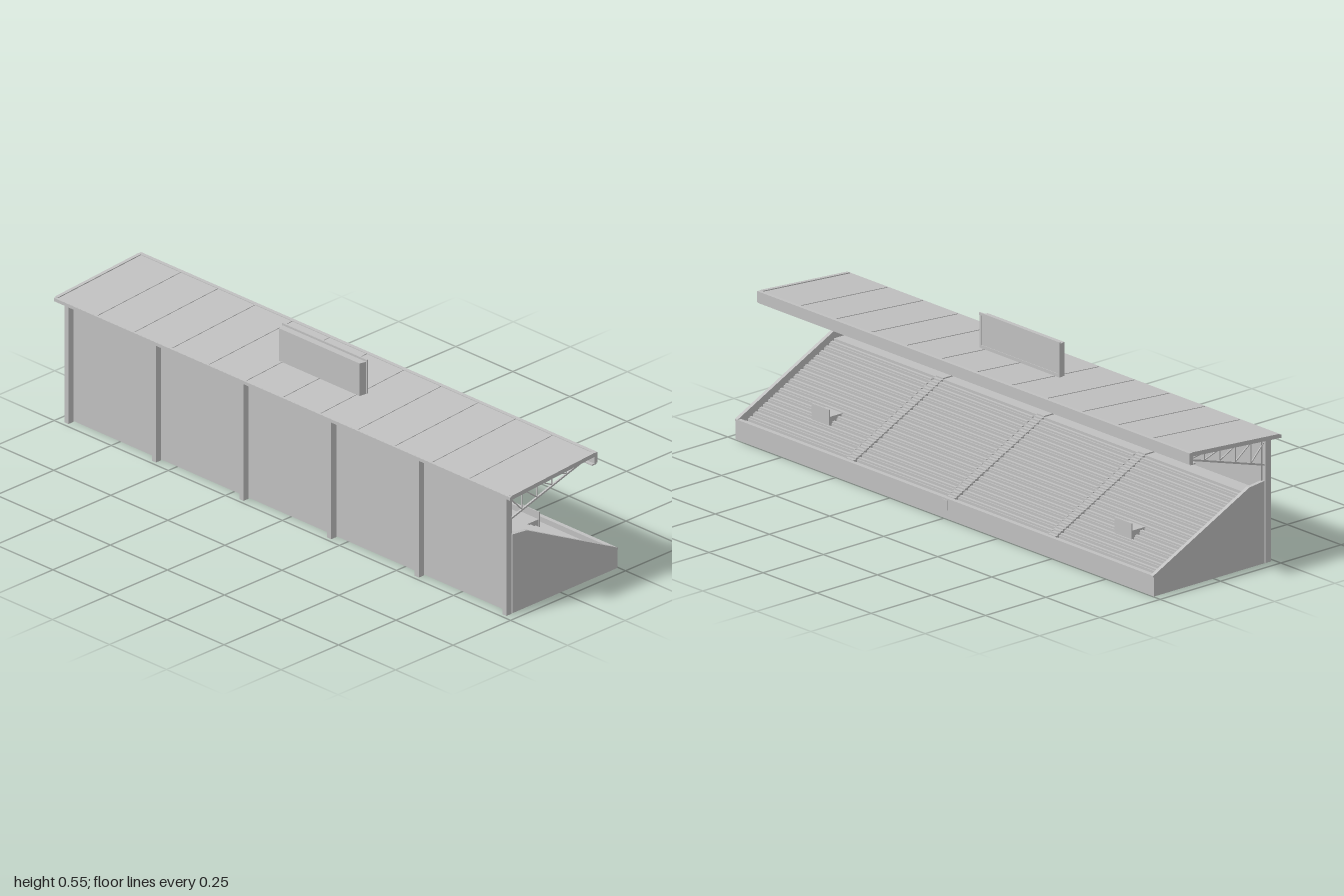
import * as THREE from 'three';

const grey = new THREE.MeshStandardMaterial({ color: 0xc0c0c0 });
grey.name = 'light grey';

export function createModel() {
  const model = new THREE.Group();
  model.name = 'grandstand';

  function add(name, geometry, parent = model) {
    const m = new THREE.Mesh(geometry, grey);
    m.name = name;
    parent.add(m);
    return m;
  }
  // Box given by its limits on each axis
  function box(name, x0, x1, y0, y1, z0, z1, parent) {
    const m = add(name, new THREE.BoxGeometry(x1 - x0, y1 - y0, z1 - z0), parent);
    m.position.set((x0 + x1) / 2, (y0 + y1) / 2, (z0 + z1) / 2);
    return m;
  }
  // Side profile of [z, y] points, swept across x
  function sweep(name, points, x0, x1, parent) {
    const shape = new THREE.Shape(points.map(([z, y]) => new THREE.Vector2(z, y)));
    const g = new THREE.ExtrudeGeometry(shape, { depth: x1 - x0, bevelEnabled: false });
    g.rotateY(-Math.PI / 2).translate(x1, 0, 0);
    return add(name, g, parent);
  }
  // Square bar between two [z, y] points
  function bar(name, a, b, thick, x, parent) {
    const dz = b[0] - a[0], dy = b[1] - a[1];
    const m = add(name, new THREE.BoxGeometry(thick, thick, Math.hypot(dz, dy)), parent);
    m.position.set(x, (a[1] + b[1]) / 2, (a[0] + b[0]) / 2);
    m.rotation.x = -Math.atan2(dy, dz);
    return m;
  }
  // Staircase profile closed down to the ground
  function steps(count, z0, z1, y0, y1) {
    const p = [[z0, 0]];
    const dz = (z1 - z0) / count, dy = (y1 - y0) / count;
    for (let i = 0; i < count; i++) {
      p.push([z0 + i * dz, y0 + i * dy], [z0 + (i + 1) * dz, y0 + i * dy]);
    }
    p.push([z1, y1], [0.206, y1], [0.206, 0]);
    return p;
  }

  // Terrace, benches and aisles
  const rows = 18, zLow = -0.228, zHigh = 0.15, yLow = 0.052, yHigh = 0.24;
  const pitch = (zHigh - zLow) / rows, rise = (yHigh - yLow) / rows;
  sweep('terrace', steps(rows, zLow, zHigh, yLow, yHigh), -0.956, 0.956);
  const aisles = [-0.467, 0, 0.467];
  for (const x of aisles) {
    sweep('aisleStairs', steps(rows * 2, zLow - 0.004, zHigh, yLow + 0.006, yHigh + 0.004), x - 0.017, x + 0.017);
  }
  const bays = [[-0.952, -0.487], [-0.447, -0.02], [0.02, 0.447], [0.487, 0.952]];
  const benches = new THREE.Group();
  benches.name = 'benches';
  model.add(benches);
  for (let i = 0; i < rows; i++) {
    const z = zLow + i * pitch, y = yLow + i * rise;
    for (const [a, b] of bays) box('bench', a, b, y, y + 0.006, z + 0.004, z + 0.013, benches);
  }

  // Base, front parapet and end walls
  box('base', -0.956, 0.956, 0, 0.035, -0.24, -0.226);
  box('frontParapet', -0.967, 0.967, 0, 0.062, -0.247, -0.238);
  box('parapetCap', -0.967, 0.967, 0.062, 0.068, -0.25, -0.236);
  box('parapetGate', -0.012, 0.012, 0.028, 0.06, -0.249, -0.246);
  const endProfile = [[0.21, 0], [0.21, 0.27], [0.148, 0.263], [-0.25, 0.068], [-0.247, 0.062], [-0.247, 0]];
  sweep('endWall', endProfile, -0.968, -0.955);
  sweep('endWall', endProfile, 0.955, 0.968);

  // Entrance platforms set into the terrace
  for (const x of [-0.7, 0.7]) {
    box('entrancePlatform', x - 0.038, x + 0.038, 0.09, 0.127, -0.132, -0.06);
    box('entranceScreen', x - 0.04, x + 0.04, 0.1, 0.152, -0.135, -0.132);
  }

  // Outer wall, columns and roof trusses
  box('outerWall', -0.96, 0.96, 0, 0.405, 0.204, 0.21);
  const nodes = [
    [0.161, 0.405, 0.337], [0.096, 0.41, 0.357], [0.032, 0.415, 0.378],
    [-0.032, 0.419, 0.394], [-0.096, 0.424, 0.41],
  ];
  for (let i = 0; i < 6; i++) {
    const x = -0.96 + i * 0.384;
    box('column', x - 0.009, x + 0.009, 0, 0.41, 0.215, 0.237);
    const truss = new THREE.Group();
    truss.name = 'truss';
    model.add(truss);
    bar('topChord', [0.216, 0.404], [-0.108, 0.428], 0.006, x, truss);
    bar('bottomChord', [0.216, 0.32], [-0.098, 0.411], 0.006, x, truss);
    let top = [0.214, 0.392];
    for (const [z, yTop, yBottom] of nodes) {
      bar('diagonal', top, [z, yBottom], 0.0035, x, truss);
      bar('upright', [z, yTop], [z, yBottom], 0.0035, x, truss);
      top = [z, yTop];
    }
  }

  // Sloping roof with seams, edge caps and fascias
  const roofY = z => 0.421 + (0.252 - z) * 0.071;
  const slab = (z0, z1, low, high) => [
    [z0, roofY(z0) + low], [z1, roofY(z1) + low], [z1, roofY(z1) + high], [z0, roofY(z0) + high],
  ];
  sweep('roof', slab(-0.12, 0.25, -0.011, 0), -1, 1);
  for (let i = -5; i <= 5; i++) {
    sweep('roofSeam', slab(-0.115, 0.245, -0.001, 0.002), i * 0.163 - 0.002, i * 0.163 + 0.002);
  }
  for (const s of [-1, 1]) {
    const a = s * 0.994;
    sweep('roofEdge', slab(-0.115, 0.245, -0.001, 0.003), a - 0.006, a + 0.006);
  }
  box('outerEave', -1, 1, 0.41, 0.421, 0.246, 0.252);
  box('fascia', -1, 1, 0.413, 0.449, -0.128, -0.115);
  box('fasciaLip', -1, 1, 0.409, 0.413, -0.124, -0.104);

  // Blank board on the roof with a raised frame
  const board = new THREE.Shape([[-0.183, -0.065], [0.183, -0.065], [0.177, -0.09], [-0.177, -0.09]]
    .map(([x, y]) => new THREE.Vector2(x, y)).reverse());
  const boardGeometry = new THREE.ExtrudeGeometry(board, { depth: 0.112, bevelEnabled: false });
  boardGeometry.rotateX(-Math.PI / 2).translate(0, 0.432, 0);
  add('roofBoard', boardGeometry);
  box('boardFrameTop', -0.186, 0.186, 0.543, 0.551, 0.062, 0.067);
  for (const s of [-1, 1]) {
    box('boardFrameSide', s * 0.182 - 0.004, s * 0.182 + 0.004, 0.44, 0.543, 0.063, 0.067);
  }
  box('boardFrameBottom', -0.186, 0.186, 0.436, 0.446, 0.063, 0.067);

  return model;
}
